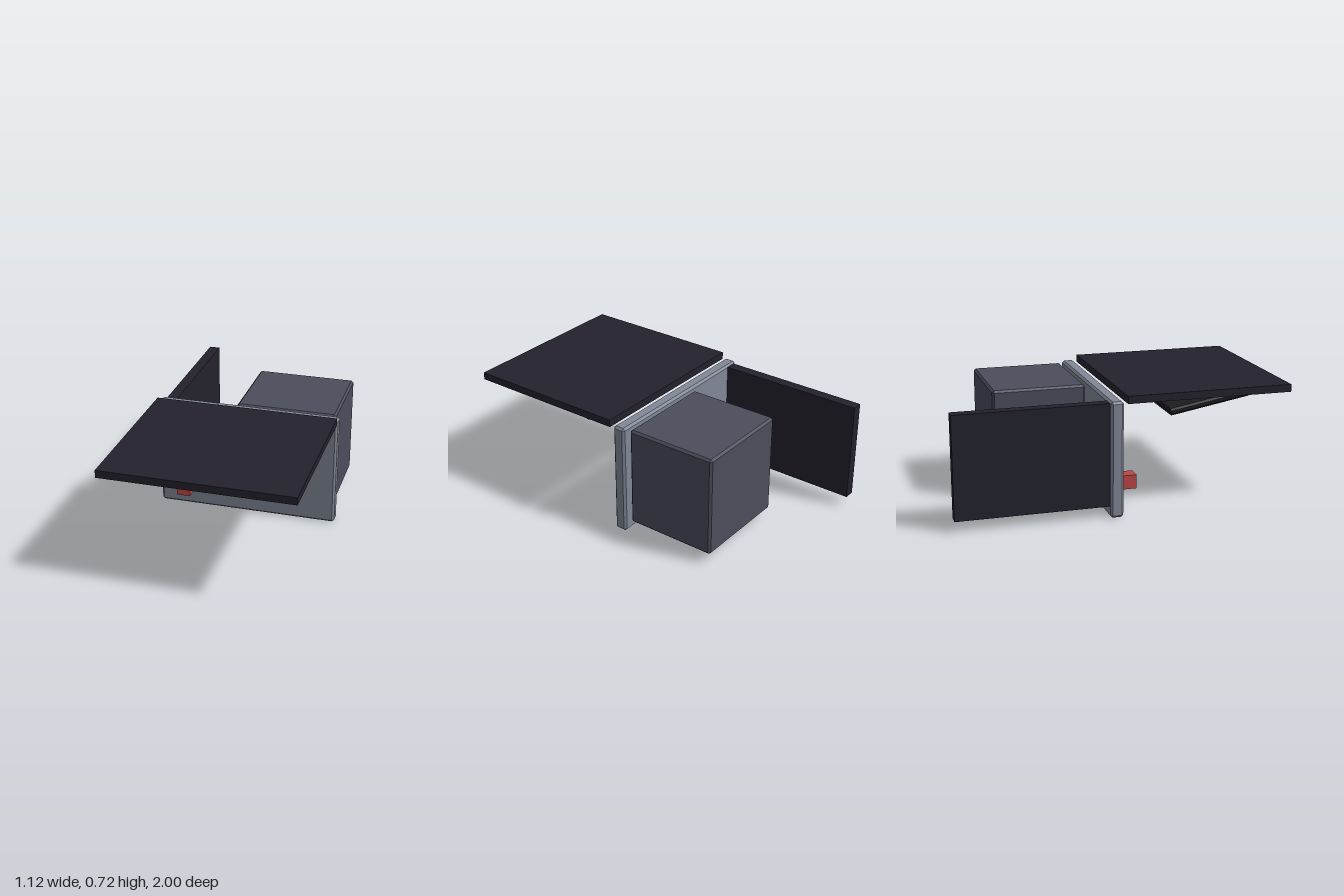
import * as THREE from 'three';
import { ConvexGeometry } from 'three/addons/geometries/ConvexGeometry.js';

const mat = (name, color) => {
  const m = new THREE.MeshStandardMaterial({ color });
  m.name = name;
  return m;
};

// Box with flat chamfered edges
function chamferBox(w, h, d, c) {
  const pts = [];
  for (const x of [-1, 1]) for (const y of [-1, 1]) for (const z of [-1, 1]) {
    for (let full = 0; full < 3; full++) {
      const inset = [c, c, c];
      inset[full] = 0;
      pts.push(new THREE.Vector3(x * (w / 2 - inset[0]), y * (h / 2 - inset[1]), z * (d / 2 - inset[2])));
    }
  }
  return new ConvexGeometry(pts);
}

export function createModel() {
  const charcoal = mat('charcoal', 0x23222d);
  const grey = mat('panel grey', 0x818897);
  const slate = mat('slate', 0x4b4d5c);
  const cyan = mat('cyan', 0x22c3cc);
  const red = mat('red', 0xbe4646);
  const black = mat('frame black', 0x1c1c22);
  const purple = mat('screen purple', 0x2c0f3c);
  const violet = mat('violet', 0x55308a);
  const pale = mat('pale text', 0xa9b3ac);

  const model = new THREE.Group();

  // Add a box given its extents on each axis; c is the chamfer width
  function add(parent, name, material, [x0, x1], [y0, y1], [z0, z1], c = 0) {
    const size = [x1 - x0, y1 - y0, z1 - z0];
    const geo = c ? chamferBox(...size, c) : new THREE.BoxGeometry(...size);
    const mesh = new THREE.Mesh(geo, material);
    mesh.name = name;
    mesh.position.set((x0 + x1) / 2, (y0 + y1) / 2, (z0 + z1) / 2);
    parent.add(mesh);
  }

  // Main slabs
  add(model, 'canopy', charcoal, [-0.56, 0.56], [0.675, 0.72], [0, 1]);
  add(model, 'frontPanel', grey, [-0.56, 0.56], [0, 0.69], [-0.1, -0.022], 0.013);
  add(model, 'sideBoard', charcoal, [-0.535, -0.47], [0.065, 0.68], [-1, -0.1]);
  add(model, 'rearCabinet', slate, [-0.09, 0.53], [0.062, 0.682], [-0.685, -0.118], 0.013);

  // Red button block
  add(model, 'redButton', red, [-0.418, -0.332], [0.118, 0.202], [-0.025, 0.1]);

  // Keypad: three rows of ten keys, some cyan
  const keypad = new THREE.Group();
  keypad.name = 'keypad';
  model.add(keypad);
  for (let row = 0; row < 3; row++) {
    for (let col = 0; col < 10; col++) {
      const x = (col - 4.5) * 0.0563;
      const y = 0.253 - row * 0.0555;
      const lit = row < 2 && col % 3 === row;
      add(keypad, 'key', lit ? cyan : charcoal,
        [x - 0.0225, x + 0.0225], [y - 0.0225, y + 0.0225], [-0.025, 0]);
    }
  }

  // Tilted monitor under the canopy, facing down
  const monitor = new THREE.Group();
  monitor.name = 'monitor';
  monitor.position.set(0, 0.597, 0.565);
  monitor.rotation.x = -0.175;
  model.add(monitor);
  add(monitor, 'monitorFrame', black, [-0.385, 0.385], [-0.021, 0.021], [-0.258, 0.258], 0.012);
  add(monitor, 'screen', purple, [-0.35, 0.35], [-0.026, -0.018], [-0.235, 0.235]);
  add(monitor, 'screenHeader', violet, [-0.35, 0.35], [-0.028, -0.02], [0.222, 0.235]);

  // Lines on the screen: right end, depth position, material
  const lines = [
    [-0.14, 0.115, violet], [0.09, 0.045, pale], [-0.055, -0.025, pale],
    [0.165, -0.1, pale], [0.015, -0.178, pale],
  ];
  for (const [end, z, material] of lines) {
    add(monitor, 'screenLine', material, [-0.32, end], [-0.031, -0.024], [z - 0.01, z + 0.01]);
  }

  return model;
}
